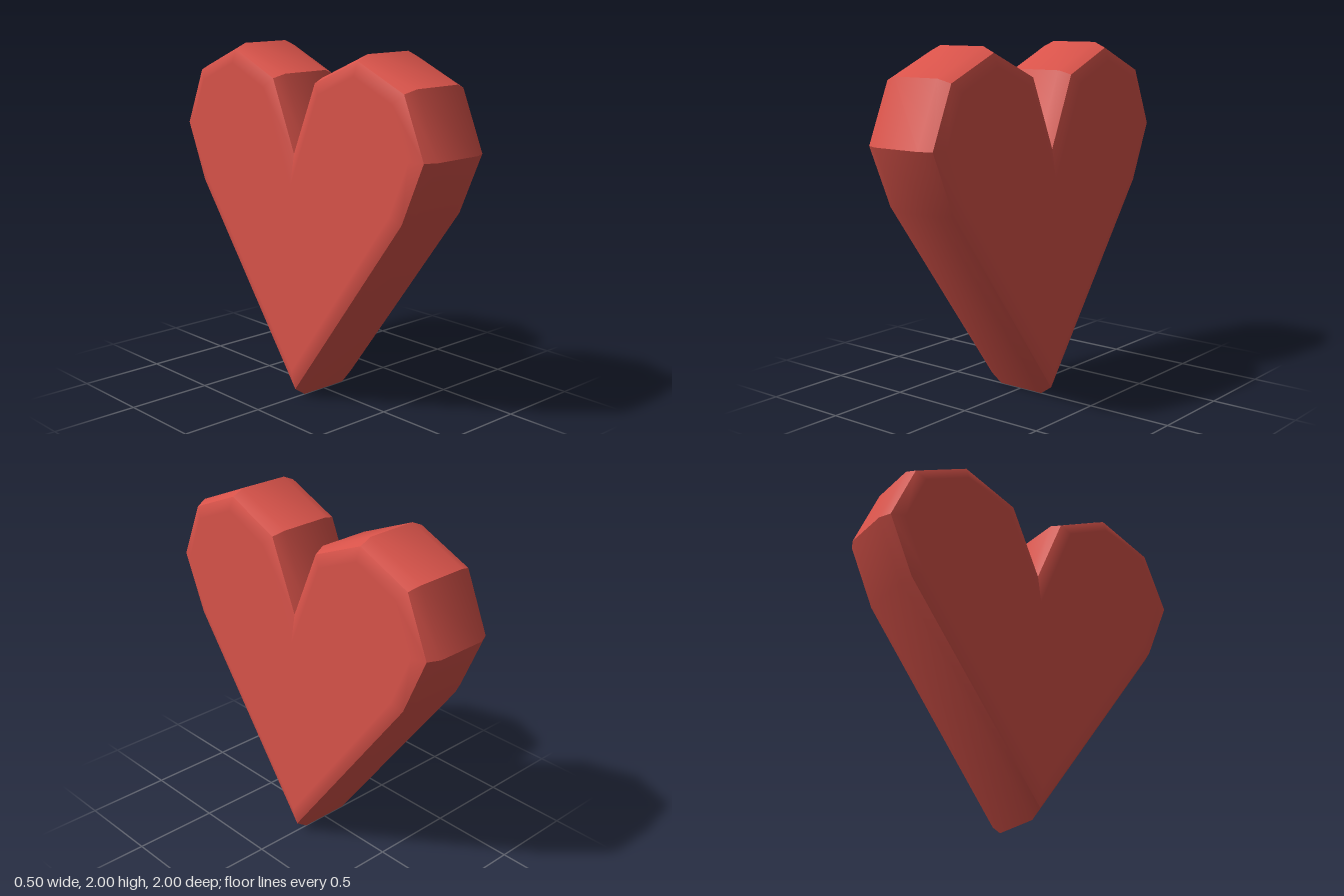
import * as THREE from 'three';
import { toCreasedNormals } from 'three/addons/utils/BufferGeometryUtils.js';

// Heart outline as (z, y), counter-clockwise from the bottom tip
const half = [[0.85, 1.15], [1, 1.5], [0.85, 1.85], [0.5, 2], [0.15, 1.85]];
const outline = [
  [0, 0], ...half, [0, 1.5],
  ...half.map(([z, y]) => [-z, y]).reverse(),
].map(([z, y]) => new THREE.Vector2(z, y));

// Moves every edge inwards by d, with mitred corners
function inset(points, d) {
  const n = points.length;
  const normal = (a, b) => new THREE.Vector2(a.y - b.y, b.x - a.x).normalize();
  return points.map((p, i) => {
    const n1 = normal(points[(i + n - 1) % n], p);
    const n2 = normal(p, points[(i + 1) % n]);
    return p.clone().addScaledVector(n1.clone().add(n2), d / (1 + n1.dot(n2)));
  });
}

function heartGeometry() {
  const faceX = 0.25, bevel = 0.1;
  // Cross-sections from -x to +x, with a two-step rounded bevel
  const sections = [];
  for (const side of [-1, 1]) {
    for (let k = 0; k < 3; k++) {
      const a = (side < 0 ? k : 2 - k) * Math.PI / 4;
      const x = side * (faceX - bevel + bevel * Math.cos(a));
      sections.push(inset(outline, bevel * (1 - Math.sin(a)))
        .map((p) => new THREE.Vector3(x, p.y, p.x)));
    }
  }
  // Inset follows a quarter circle: 0.1 at the face, 0.03 midway, 0 at the rim
  const n = outline.length;
  const positions = sections.flat().flatMap((v) => v.toArray());
  const index = [];
  for (let s = 0; s < sections.length - 1; s++) {
    for (let i = 0; i < n; i++) {
      const a = s * n + i, b = s * n + (i + 1) % n;
      index.push(a, a + n, b, b, a + n, b + n);
    }
  }
  // Flat faces
  const last = (sections.length - 1) * n;
  for (const [a, b, c] of THREE.ShapeUtils.triangulateShape(inset(outline, bevel), [])) {
    index.push(a, b, c, last + a, last + c, last + b);
  }
  const indexed = new THREE.BufferGeometry();
  indexed.setAttribute('position', new THREE.Float32BufferAttribute(positions, 3));
  indexed.setIndex(index);
  const geometry = toCreasedNormals(indexed, Math.PI / 6);
  // Keep the faces flat and let the bevel shade into them
  const { position, normal } = geometry.attributes;
  for (let i = 0; i < position.count; i++) {
    const x = position.getX(i);
    if (Math.abs(x) > faceX - 0.001) normal.setXYZ(i, Math.sign(x), 0, 0);
  }
  return geometry;
}

export function createModel() {
  const group = new THREE.Group();
  group.name = 'heartModel';
  const material = new THREE.MeshStandardMaterial({ color: 0xd9534a });
  const heart = new THREE.Mesh(heartGeometry(), material);
  heart.name = 'heart';
  group.add(heart);
  return group;
}
